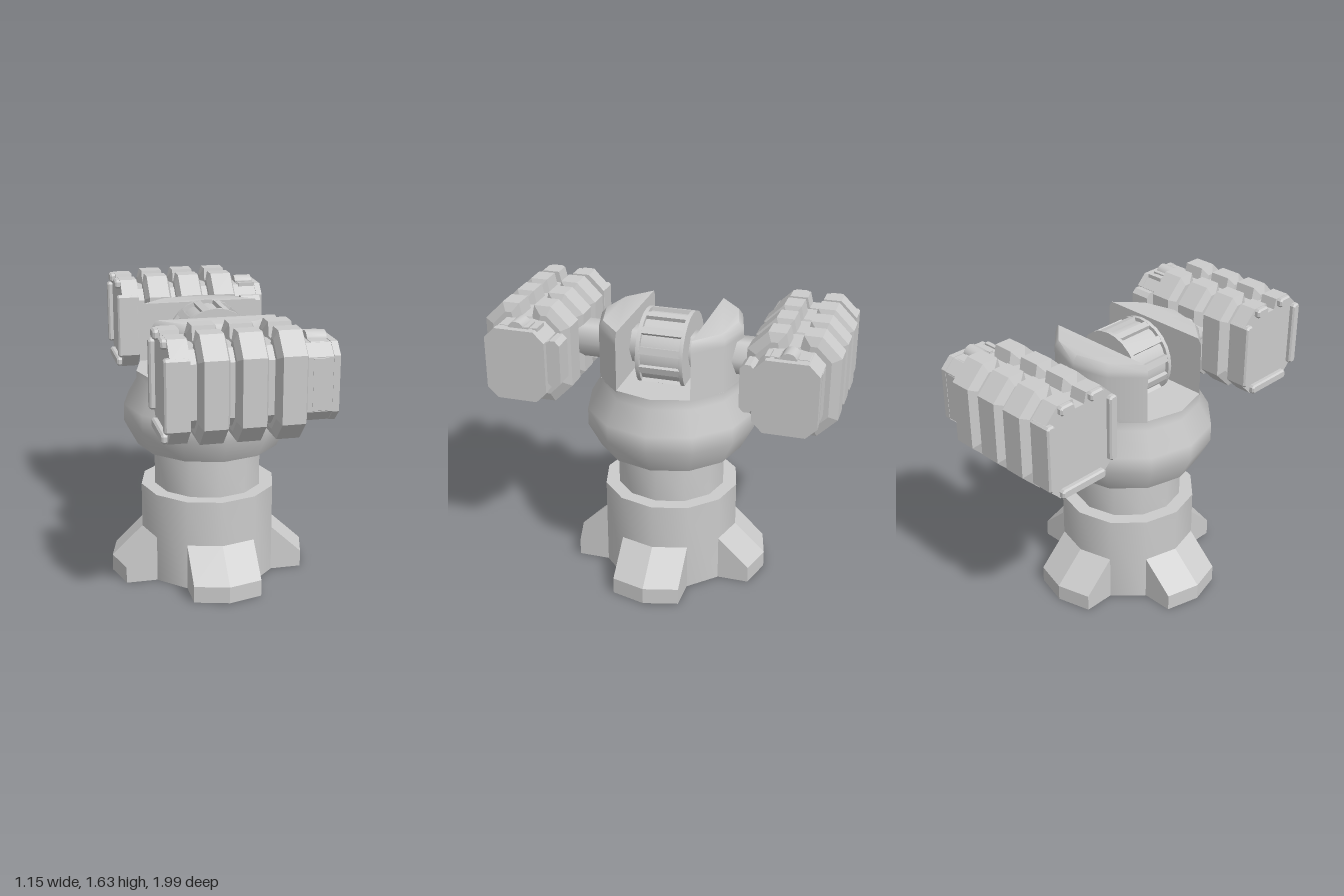
import * as THREE from 'three';
import { toCreasedNormals } from 'three/addons/utils/BufferGeometryUtils.js';

const grey = new THREE.MeshStandardMaterial({ color: 0xcccccc });
const flat = new THREE.MeshStandardMaterial({ color: 0xcccccc, flatShading: true });
const open = new THREE.MeshStandardMaterial({ color: 0xcccccc, side: THREE.DoubleSide });

function add(parent, name, geometry, material = flat, x = 0, y = 0, z = 0) {
  const mesh = new THREE.Mesh(geometry, material);
  mesh.name = name;
  mesh.position.set(x, y, z);
  parent.add(mesh);
  return mesh;
}

const points = (list) => list.map(([x, y]) => new THREE.Vector2(x, y));

// Chamfered rectangle, half width w, half height h, with an optional notch in the top
function octagon(w, h, c, notchDepth = 0) {
  const list = [[-w + c, -h], [w - c, -h], [w, -h + c], [w, h - c], [w - c, h]];
  if (notchDepth) list.push([0.045, h], [0.03, h - notchDepth], [-0.03, h - notchDepth], [-0.045, h]);
  list.push([-w + c, h], [-w, h - c], [-w, -h + c]);
  return new THREE.Shape(points(list));
}

// Extrude a shape along x from x0 to x1, with a bevel of the given radial size
function alongX(shape, x0, x1, bevel = 0, thickness = 0.02) {
  const t = bevel ? thickness : 0;
  const g = new THREE.ExtrudeGeometry(shape, {
    depth: x1 - x0 - 2 * t, bevelEnabled: bevel > 0, bevelSize: bevel,
    bevelOffset: -bevel, bevelThickness: t, bevelSegments: 1,
  });
  return g.rotateY(Math.PI / 2).translate(x0 + t, 0, 0);
}

// Wedge foot whose outer edge follows the twelve-sided column
function footGeometry() {
  const profile = new THREE.Shape(points([[0.394, 0], [0.577, 0], [0.577, 0.097], [0.394, 0.27]]));
  const g = new THREE.ExtrudeGeometry(profile, { depth: 0.39, steps: 2, bevelEnabled: false });
  g.translate(0, 0, -0.195);
  const p = g.attributes.position;
  for (let i = 0; i < p.count; i++) p.setX(i, p.getX(i) - 0.268 * Math.abs(p.getZ(i)));
  return g;
}

// Segment of the turret rising beside the drum, chamfered at its top
function cheekGeometry() {
  const shape = new THREE.Shape(points([[-0.355, -0.21], [0.355, -0.21], [0.205, -0.357], [0, -0.412], [-0.205, -0.357]].reverse()));
  const g = new THREE.ExtrudeGeometry(shape, { depth: 0.345, steps: 10, bevelEnabled: false });
  g.rotateX(-Math.PI / 2);
  const p = g.attributes.position;
  for (let i = 0; i < p.count; i++) {
    if (p.getY(i) < 0.34) continue;
    p.setX(i, p.getX(i) * 0.94);
    p.setZ(i, 0.21 + (p.getZ(i) - 0.21) * 0.86);
  }
  return toCreasedNormals(g, 0.9);
}

// Gun pod lying along x; side is the sign of its z position
function createPod(side) {
  const pod = new THREE.Group();
  pod.name = side > 0 ? 'frontPod' : 'backPod';
  pod.position.set(0, 1.352, side * 0.747);

  add(pod, 'podCore', alongX(octagon(0.172, 0.203, 0.06), -0.32, 0.445));
  for (const x of [-0.18, 0.014, 0.217]) {
    add(pod, 'podRing', alongX(octagon(0.25, 0.283, 0.108, 0.07), x - 0.081, x + 0.081, 0.05));
  }

  // Rear cap with raised clamps on its four edges
  add(pod, 'rearCap', alongX(octagon(0.235, 0.268, 0.09, 0.06), -0.405, -0.305));
  for (const s of [-1, 1]) {
    add(pod, 'sideClamp', alongX(octagon(0.026, 0.19, 0.012), -0.435, -0.305, 0.008, 0.01), flat, 0, 0, s * 0.21);
  }
  add(pod, 'bottomClamp', alongX(octagon(0.15, 0.026, 0.012), -0.435, -0.305, 0.008, 0.01), flat, 0, -0.241, 0);
  for (const s of [-1, 1]) {
    add(pod, 'topClamp', alongX(octagon(0.045, 0.026, 0.012), -0.435, -0.305, 0.008, 0.01), flat, 0, 0.241, s * 0.1);
  }

  // Front plate, and the latches on the short collar behind it
  add(pod, 'frontPlate', alongX(octagon(0.174, 0.206, 0.06), 0.44, 0.475));
  add(pod, 'collar', alongX(octagon(0.174, 0.206, 0.07), 0.335, 0.415));
  add(pod, 'sideLatch', alongX(octagon(0.04, 0.135, 0.025), 0.327, 0.445), flat, 0, 0.02, -side * 0.21);
  const knob = new THREE.CylinderGeometry(0.048, 0.048, 0.105, 12).rotateZ(Math.PI / 2);
  add(pod, 'topLatch', toCreasedNormals(knob, 0.8), grey, 0.388, 0.194, 0);
  for (const z of [-0.06, -0.11]) {
    add(pod, 'collarRib', new THREE.BoxGeometry(0.1, 0.03, 0.025), flat, 0.388, 0.2, side * z);
  }
  return pod;
}

export function createModel() {
  const model = new THREE.Group();
  model.name = 'turret';

  // Base column, open below, with neck and bulging turret body
  const body = new THREE.LatheGeometry(points([
    [0.395, 0], [0.395, 0.535], [0.315, 0.535], [0.315, 0.785], [0.412, 0.785],
    [0.488, 0.93], [0.488, 1.03], [0.412, 1.16], [0.412, 1.22], [0, 1.22],
  ]), 12);
  add(model, 'turretBody', toCreasedNormals(body, 0.8), open);

  const foot = footGeometry();
  for (let i = 0; i < 4; i++) add(model, 'foot', foot).rotation.y = i * Math.PI / 2;

  const cheek = cheekGeometry();
  for (const s of [1, -1]) {
    add(model, s > 0 ? 'frontCheek' : 'backCheek', cheek, grey, 0, 1.21, 0).rotation.y = s > 0 ? 0 : Math.PI;
  }

  // Six-sided axle joining both pods
  const axle = new THREE.CylinderGeometry(0.109, 0.109, 1.2, 6);
  axle.rotateY(Math.PI / 2).rotateX(Math.PI / 2);
  add(model, 'axle', toCreasedNormals(axle, 1.2), grey, 0.02, 1.372, 0);

  // Drum with rims and ribs around recessed panels
  const drum = new THREE.Group();
  drum.name = 'drum';
  drum.position.set(0.02, 1.363, 0.004);
  model.add(drum);
  const disc = (r, d) => toCreasedNormals(new THREE.CylinderGeometry(r, r, d, 24).rotateX(Math.PI / 2), 0.8);
  add(drum, 'drumCore', disc(0.202, 0.26), grey);
  for (const s of [-1, 1]) add(drum, 'drumRim', disc(0.224, 0.022), grey, 0, 0, s * 0.124);
  for (let i = 0; i < 12; i++) {
    const a = (i + 0.5) * Math.PI / 6;
    const rib = add(drum, 'drumRib', new THREE.BoxGeometry(0.04, 0.04, 0.24), flat, 0.202 * Math.cos(a), 0.202 * Math.sin(a), 0);
    rib.rotation.z = a;
  }

  model.add(createPod(1), createPod(-1));
  return model;
}
